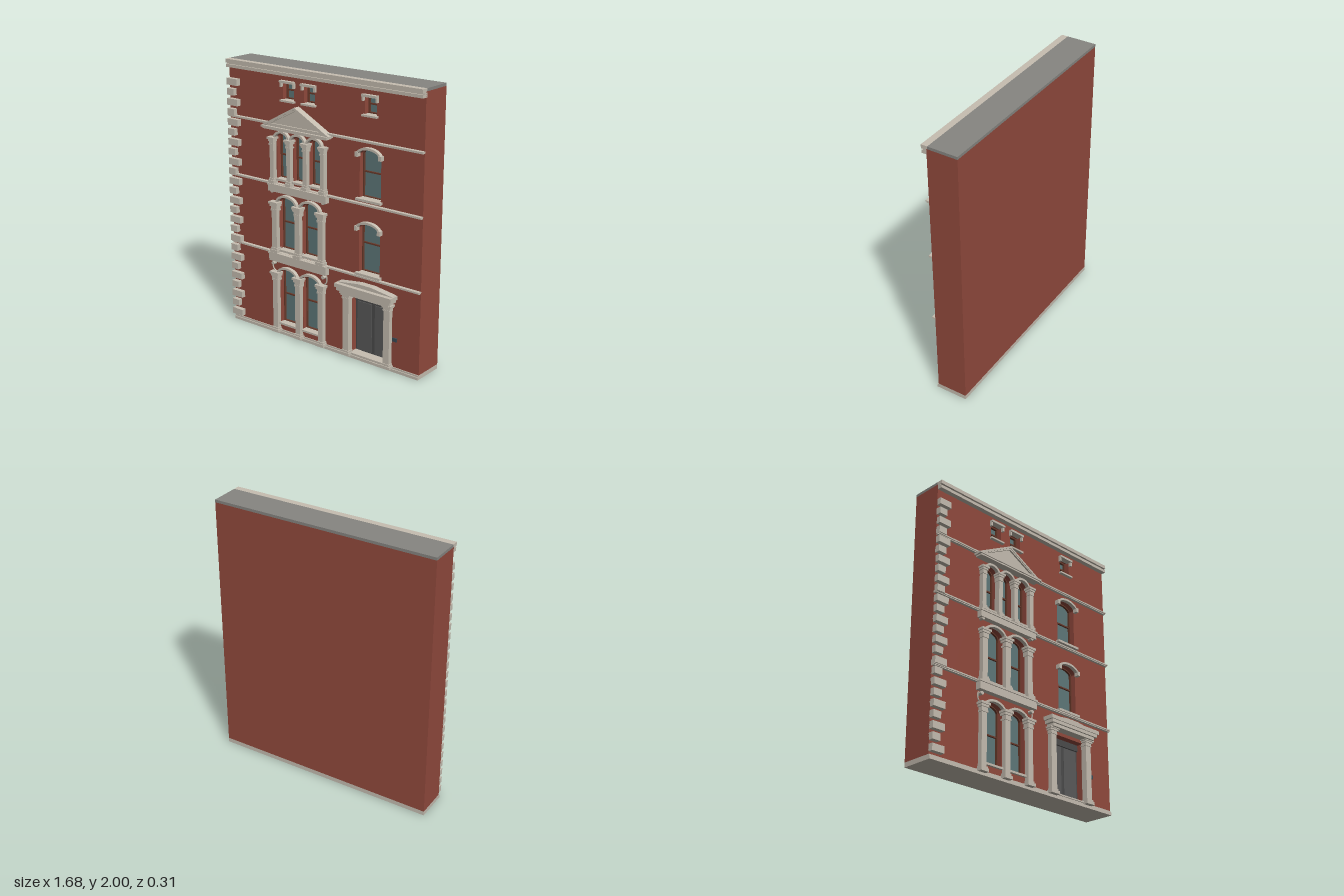
import * as THREE from 'three';

const mat = (name, color, side = THREE.FrontSide) => {
  const m = new THREE.MeshStandardMaterial({ color, side });
  m.name = name;
  return m;
};

export function createModel() {
  const brick = mat('brick', 0x924a3d), stone = mat('stone', 0xc6beb1), glass = mat('glass', 0x5f787a);
  const wood = mat('window frame', 0x6a3a2b), door = mat('door', 0x5a5a5a), roof = mat('roof', 0x868581);
  const trim = mat('door trim', 0x4b4b4b), plate = mat('number plate', 0x3a4a55);
  const model = new THREE.Group();
  model.name = 'townhouse facade';
  const W = 0.842, BACK = -0.154, WALL = 0.072, CORE = 0.005;

  const add = (name, geo, material, parent = model) => {
    const m = new THREE.Mesh(geo, material);
    m.name = name;
    parent.add(m);
    return m;
  };
  // Box given by its limits on each axis
  const box = (name, x0, x1, y0, y1, z0, z1, material = stone, parent = model) => {
    const g = new THREE.BoxGeometry(x1 - x0, y1 - y0, z1 - z0);
    g.translate((x0 + x1) / 2, (y0 + y1) / 2, (z0 + z1) / 2);
    return add(name, g, material, parent);
  };
  const slab = (name, shape, z0, z1, material = stone, parent = model) => {
    const g = new THREE.ExtrudeGeometry(shape, { depth: z1 - z0, bevelEnabled: false, curveSegments: 20 });
    g.translate(0, 0, z0);
    return add(name, g, material, parent);
  };
  const group = (name) => {
    const g = new THREE.Group();
    g.name = name;
    model.add(g);
    return g;
  };
  const poly = (pts) => new THREE.Shape(pts.map(([x, y]) => new THREE.Vector2(x, y)));

  // Opening with a flattened arch on top (rise 0 gives a rectangle)
  const opening = (x0, x1, y0, top, rise, inset = 0) => {
    const s = new THREE.Shape(), a = x0 + inset, b = x1 - inset, spring = top - rise;
    s.moveTo(a, y0 + inset);
    s.lineTo(b, y0 + inset);
    if (rise) {
      s.lineTo(b, spring);
      s.absellipse((a + b) / 2, spring, (b - a) / 2, rise - inset, 0, Math.PI, false);
    } else {
      s.lineTo(b, top - inset);
      s.lineTo(a, top - inset);
    }
    s.closePath();
    return s;
  };
  // Arched hood moulding with short straight legs
  const hood = (x0, x1, top, rise, foot, t, parent) => {
    const cx = (x0 + x1) / 2, r = (x1 - x0) / 2, R = r + t, spring = top - rise;
    const s = new THREE.Shape();
    s.moveTo(cx + R, foot);
    s.lineTo(cx + R, spring);
    s.absellipse(cx, spring, R, rise + t, 0, Math.PI, false);
    s.lineTo(cx - R, foot);
    s.lineTo(cx - r, foot);
    s.lineTo(cx - r, spring);
    s.absellipse(cx, spring, r, rise, Math.PI, 0, true);
    s.lineTo(cx + r, foot);
    s.closePath();
    slab('hood moulding', s, WALL, 0.1, stone, parent);
  };

  // Windows: x0, x1, sill, top, arch rise, height of middle rail, kind
  const windows = [
    [-0.4, -0.288, 1.192, 1.53, 0.042, 1.362, 'bay'], [-0.252, -0.142, 1.192, 1.53, 0.042, 1.362, 'bay'],
    [-0.106, 0.006, 1.192, 1.53, 0.042, 1.362, 'bay'],
    [-0.386, -0.224, 0.662, 1.066, 0.048, 0.865, 'bay'], [-0.173, -0.011, 0.662, 1.066, 0.048, 0.865, 'bay'],
    [-0.386, -0.224, 0.09, 0.522, 0.048, 0.31, 'bay'], [-0.173, -0.011, 0.09, 0.522, 0.048, 0.31, 'bay'],
    [0.328, 0.504, 1.19, 1.535, 0.044, 1.368, 'single'], [0.328, 0.504, 0.658, 1.02, 0.044, 0.865, 'single'],
    [-0.34, -0.242, 1.766, 1.894, 0, 1.832, 'attic'], [-0.152, -0.054, 1.766, 1.894, 0, 1.832, 'attic'],
    [0.366, 0.464, 1.766, 1.894, 0, 1.832, 'attic'],
  ];
  const doorway = [0.262, 0.568, 0.036, 0.466, 0];

  // Wall: solid core and a pierced front skin
  box('wall core', -W, W, 0.033, 1.98, BACK, CORE, brick);
  const front = poly([[-W, 0.033], [W, 0.033], [W, 1.98], [-W, 1.98]]);
  windows.forEach((w) => front.holes.push(opening(...w.slice(0, 5))));
  front.holes.push(opening(...doorway));
  slab('front wall', front, CORE, WALL, brick);
  box('roof', -W, W, 1.98, 2, BACK, 0.065, roof);

  // Plinth, string courses and top cornice
  box('plinth', -W, W, 0, 0.033, BACK, 0.078);
  box('plinth step', -W, W, 0, 0.02, 0.078, 0.085);
  for (const y of [0.633, 1.153, 1.588]) {
    box('string course', -W, W, y - 0.008, y + 0.008, WALL - 0.005, 0.092);
    box('string course lip', -W, W, y - 0.002, y + 0.008, 0.09, 0.099);
  }
  box('cornice lower band', -W, W, 1.941, 1.963, 0.06, 0.108);
  box('cornice neck', -W, W, 1.963, 1.972, 0.06, 0.096);
  box('cornice upper band', -W, W, 1.972, 2, 0.065, 0.112);

  // Corner quoins, alternating long and short
  for (let i = 0; i < 25; i++) {
    const y = 1.838 - i * 0.0735;
    box('quoin', -W, i % 2 ? -0.778 : -0.744, y - 0.024, y + 0.024, WALL - 0.005, 0.106);
  }

  // Window joinery and surrounds
  for (const [x0, x1, y0, top, rise, mid, kind] of windows) {
    const g = group(kind + ' window'), attic = kind === 'attic', f = attic ? 0.011 : 0.008;
    slab('glass', opening(x0, x1, y0, top, rise, 0.003), 0.012, 0.02, glass, g);
    const ring = opening(x0, x1, y0, top, rise);
    ring.holes.push(opening(x0, x1, y0, top, rise, f));
    slab('frame', ring, CORE, 0.036, wood, g);
    box('middle rail', x0 + f, x1 - f, mid - 0.005, mid + 0.005, 0.012, 0.032, wood, g);
    if (kind === 'bay') {
      hood(x0, x1, top, rise, top - rise - 0.005, 0.016, g);
      box('sill', x0, x1, y0 - 0.012, y0 + 0.003, 0.03, 0.09, stone, g);
    } else if (kind === 'single') {
      hood(x0, x1, top, rise, top - rise - 0.006, 0.016, g);
      for (const s of [x0 - 0.008, x1 + 0.008])
        box('hood stop', s - 0.012, s + 0.012, top - rise - 0.012, top - rise + 0.02, WALL, 0.106, stone, g);
      box('sill', x0 - 0.016, x1 + 0.016, y0 - 0.014, y0 + 0.003, 0.03, 0.1, stone, g);
    } else {
      box('lintel', x0 - 0.013, x1 + 0.013, top - 0.006, top + 0.01, WALL - 0.02, 0.1, stone, g);
      for (const s of [x0 - 0.007, x1 + 0.007])
        box('lintel ear', s - 0.007, s + 0.007, top - 0.036, top, WALL, 0.092, stone, g);
      box('sill', x0 - 0.012, x1 + 0.012, y0 - 0.01, y0 + 0.003, 0.03, 0.096, stone, g);
    }
  }

  // Pilaster with stepped base and capital; w is the shaft width
  const pilaster = (name, x, w, y0, y1, cap) => {
    const g = group(name);
    const part = (n, k, a, b, z) => box(n, x - w * k / 2, x + w * k / 2, a, b, WALL - 0.01, z, stone, g);
    part('base', 1.5, y0, y0 + 0.022, 0.118);
    part('base step', 1.25, y0 + 0.022, y0 + 0.036, 0.112);
    part('shaft', 1, y0 + 0.036, y1 - cap, 0.106);
    part('necking', 1.2, y1 - cap, y1 - cap * 0.8, 0.111);
    part('capital', 1.12, y1 - cap * 0.8, y1 - cap * 0.5, 0.109);
    part('capital flare', 1.45, y1 - cap * 0.5, y1 - cap * 0.25, 0.115);
    part('abacus', 1.8, y1 - cap * 0.25, y1, 0.121);
  };
  for (const x of [-0.425, -0.272, -0.124, 0.03]) pilaster('upper pilaster', x, 0.034, 1.16, 1.495, 0.06);
  for (const x of [-0.41, -0.198, 0.013]) {
    pilaster('middle pilaster', x, 0.045, 0.64, 1.022, 0.068);
    pilaster('ground pilaster', x, 0.045, 0.018, 0.49, 0.068);
  }

  // Balcony slabs with scroll brackets at their ends
  const balcony = (y0, y1, drop) => {
    box('balcony slab', -0.458, 0.067, y0, y1 - 0.014, WALL - 0.01, 0.112);
    box('balcony edge', -0.462, 0.071, y1 - 0.014, y1, WALL - 0.01, 0.119);
    for (const side of [-1, 1]) {
      const cx = -0.198 + side * 0.232, r = 0.013;
      const knob = new THREE.CylinderGeometry(r, r, 0.032, 16);
      knob.rotateX(Math.PI / 2);
      knob.translate(cx, y0 - (drop > 0.05 ? 0.022 : 0.002), 0.088);
      add('bracket scroll', knob, stone);
      if (drop < 0.05) continue;
      const curve = new THREE.CatmullRomCurve3([[0.016, -0.012], [0.02, -0.04], [0.014, -0.066], [-0.006, -drop]]
        .map(([x, y]) => new THREE.Vector3(cx + side * x, y0 + y, 0.08)));
      add('bracket stem', new THREE.TubeGeometry(curve, 12, 0.005, 6), stone);
    }
  };
  balcony(0.573, 0.64, 0.085);
  balcony(1.1, 1.158, 0.012);

  // Pediment over the triple window
  const ped = poly([[-0.485, 1.575], [0.089, 1.575], [-0.198, 1.728]]);
  ped.holes.push(poly([[-0.415, 1.598], [0.019, 1.598], [-0.198, 1.711]]));
  slab('pediment frame', ped, WALL - 0.005, 0.12);
  slab('pediment field', poly([[-0.43, 1.59], [0.034, 1.59], [-0.198, 1.715]]), WALL - 0.005, 0.108);
  for (const s of [-1, 1]) {
    const pts = [[0, 1.724], [0, 1.738], [s * 0.297, 1.58], [s * 0.297, 1.567], [s * 0.285, 1.567]];
    slab('raking cornice', poly(pts.map(([x, y]) => [x - 0.198, y])), WALL - 0.005, 0.124);
  }
  box('pediment cornice', -0.495, 0.099, 1.565, 1.578, WALL - 0.005, 0.138);
  box('pediment bed', -0.482, 0.086, 1.555, 1.565, WALL - 0.005, 0.13);

  // Entrance: recessed double door
  const [dx0, dx1, dy0, dy1] = doorway, dc = (dx0 + dx1) / 2;
  box('door leaf', dx0, dx1, dy0 - 0.003, dy1, CORE, 0.012, trim);
  for (const s of [-1, 1]) {
    const a = dc + s * 0.014, b = dc + s * 0.138;
    box('door panel', Math.min(a, b), Math.max(a, b), 0.044, 0.414, 0.012, 0.018, door);
  }
  box('transom', dx0, dx1, 0.42, dy1, 0.012, 0.022, trim);
  box('threshold', dx0, dx1, 0.03, 0.04, CORE, 0.085);

  // Entrance surround
  for (const s of [-1, 1]) pilaster('entrance pilaster', dc + s * 0.175, 0.05, 0.02, 0.495, 0.05);
  box('entrance frieze', 0.208, 0.622, 0.49, 0.525, WALL - 0.005, 0.135);
  box('entrance cornice', 0.188, 0.642, 0.512, 0.54, WALL - 0.005, 0.147);
  box('entrance cornice lip', 0.176, 0.654, 0.535, 0.563, WALL - 0.005, 0.153);
  slab('entrance gable', poly([[0.186, 0.56], [0.644, 0.56], [0.644, 0.566], [0.47, 0.59], [0.36, 0.59], [0.186, 0.566]]),
    WALL - 0.005, 0.122);
  box('number plate', 0.622, 0.66, 0.226, 0.252, WALL, 0.081, plate);

  return model;
}
